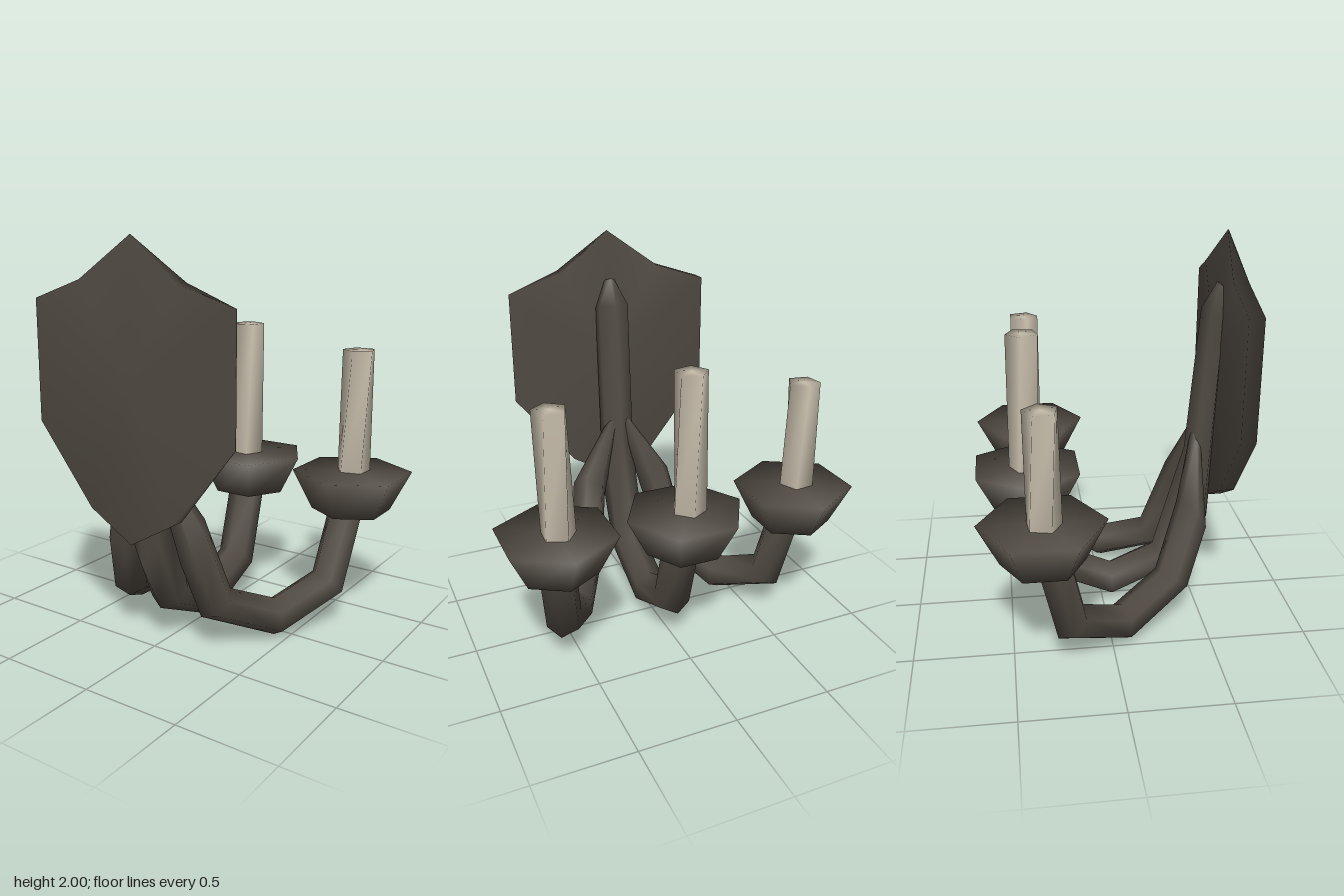
import * as THREE from 'three';

const iron = new THREE.MeshStandardMaterial({ color: 0x504a42 });
iron.name = 'dark iron';
const wax = new THREE.MeshStandardMaterial({ color: 0xcac0ae });
wax.name = 'candle wax';

// Closed smooth skin through a list of equal-sized rings, capped at both ends
function skin(rings) {
  const n = rings[0].length;
  const pos = [];
  const idx = [];
  rings.forEach((r) => r.forEach((p) => pos.push(...p)));
  for (let i = 0; i < rings.length - 1; i++) {
    for (let j = 0; j < n; j++) {
      const k = (j + 1) % n;
      const a = i * n + j, b = i * n + k;
      idx.push(a, b, b + n, a, b + n, a + n);
    }
  }
  const cap = (start, flip) => {
    const centre = [0, 0, 0];
    for (let j = 0; j < n; j++) {
      for (let c = 0; c < 3; c++) centre[c] += pos[(start + j) * 3 + c] / n;
    }
    const m = pos.length / 3;
    pos.push(...centre);
    for (let j = 0; j < n; j++) {
      const a = start + j, b = start + ((j + 1) % n);
      if (flip) idx.push(m, b, a);
      else idx.push(m, a, b);
    }
  };
  cap(0, true);
  cap((rings.length - 1) * n, false);
  const g = new THREE.BufferGeometry();
  g.setAttribute('position', new THREE.Float32BufferAttribute(pos, 3));
  g.setIndex(idx);
  g.computeVertexNormals();
  return g;
}

function add(parent, name, geometry, material) {
  const m = new THREE.Mesh(geometry, material);
  m.name = name;
  parent.add(m);
  return m;
}

// Horizontal polygon ring
function flatRing(sides, radius, y, turn, x = 0, z = 0) {
  return Array.from({ length: sides }, (_, i) => {
    const a = turn + (i / sides) * Math.PI * 2;
    return [x + radius * Math.sin(a), y, z + radius * Math.cos(a)];
  });
}

// Six-sided arm; each row is inner z, inner y, outer z, outer y, half width, side shift
function armGeometry(rows, side) {
  return skin(rows.map(([az, ay, bz, by, w = 0.095, shift = 0]) =>
    Array.from({ length: 6 }, (_, i) => {
      const a = (i / 6) * Math.PI * 2;
      const c = Math.cos(a) / 2;
      return [
        w * Math.sin(a) + shift * side,
        (ay + by) / 2 + (ay - by) * c,
        (az + bz) / 2 + (az - bz) * c,
      ];
    })));
}

// Heraldic plate, with a thin edge at the peak and along the left side
function shieldGeometry() {
  const outline = [
    [0, 2, 1], [-0.275, 1.8], [-0.553, 1.705], [-0.553, 1.11], [-0.24, 0.72],
    [0, 0.58], [0.24, 0.72], [0.553, 1.11, 1], [0.553, 1.705, 1], [0.275, 1.8],
  ];
  const ring = (z) => outline.map(([x, y, thin]) => [x, y, thin ? 0.617 + (z - 0.617) * 0.08 : z]);
  return skin([ring(0.58), ring(0.655)]);
}

export function createModel() {
  const model = new THREE.Group();
  model.name = 'wallSconce';
  const body = new THREE.Group();
  body.name = 'sconce';
  body.position.x = -0.006;
  model.add(body);

  add(body, 'shieldPlate', shieldGeometry(), iron);

  // Middle arm, running up the back of the plate
  add(body, 'middleArm', armGeometry([
    [0.575, 1.75, 0.62, 1.72, 0.03], [0.5, 1.62, 0.63, 1.58],
    [0.44, 0.87, 0.58, 0.45], [0.28, 0.3, 0.44, 0.18], [0.05, 0.2, 0.05, 0],
    [-0.18, 0.3, -0.33, 0.165], [-0.28, 0.64, -0.46, 0.64],
  ], 1), iron);

  // Side arms, splayed outwards
  for (const side of [-1, 1]) {
    const arm = add(body, side < 0 ? 'rightArm' : 'leftArm', armGeometry([
      [0.61, 0.97, 0.66, 0.93, 0.03, 0.12], [0.45, 0.68, 0.577, 0.47],
      [0.31, 0.3, 0.47, 0.18], [0.06, 0.2, 0.06, 0],
      [-0.18, 0.3, -0.33, 0.165], [-0.27, 0.64, -0.45, 0.64],
    ], -side), iron);
    arm.position.x = side * 0.46;
    arm.rotation.y = -side * Math.PI / 6;
  }

  // Cups and candles: cup x, cup z, cup turn, candle offset x, z, lean, top y, candle turn
  const holders = [
    ['right', -0.64, -0.35, 0, -0.025, 0.005, 0, 1.365, 0.1],
    ['middle', 0, -0.392, Math.PI / 6, -0.02, -0.005, 0, 1.525, 0.5],
    ['left', 0.645, -0.35, 0, -0.005, -0.02, 0.012, 1.435, 0.9],
  ];
  for (const [name, x, z, turn, cx, cz, lean, top, twist] of holders) {
    const holder = new THREE.Group();
    holder.name = name + 'Holder';
    holder.position.set(x, 0, z);
    body.add(holder);
    add(holder, name + 'Cup', skin([
      flatRing(6, 0.2, 0.605, turn), flatRing(6, 0.305, 0.81, turn),
    ]), iron);
    add(holder, name + 'Candle', skin([
      flatRing(5, 0.088, 0.8, twist, cx, cz),
      flatRing(5, 0.084, top, twist + 0.35, cx + lean, cz),
    ]), wax);
  }
  return model;
}
